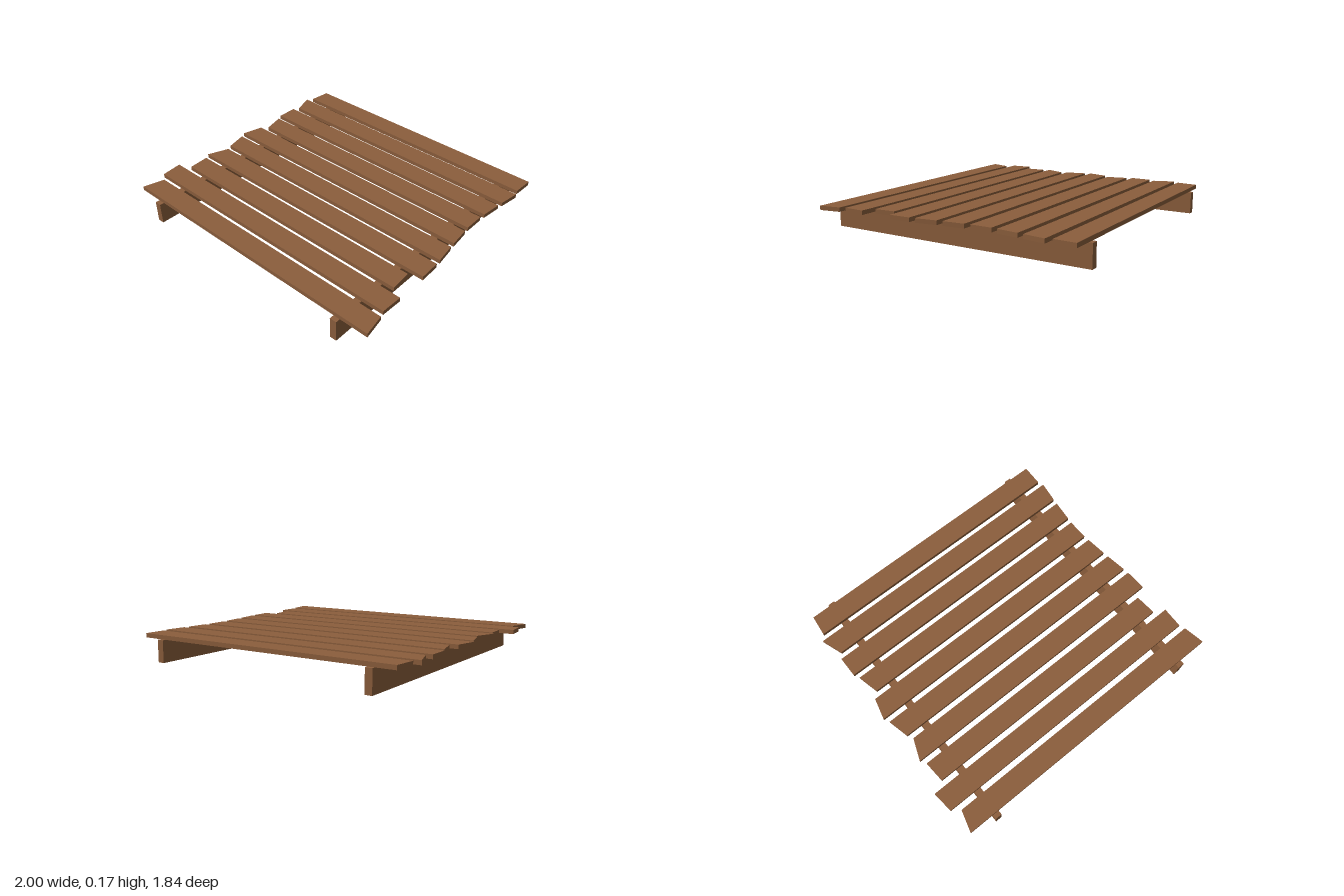
import * as THREE from 'three';

// Ragged plank ends, back to front: left-back, left-front, right-back, right-front x
const PLANK_ENDS = [
  [-0.93, -0.945, 0.94, 0.935],
  [-0.975, -0.925, 0.95, 0.93],
  [-0.95, -0.95, 0.925, 0.91],
  [-0.93, -0.895, 0.905, 0.905],
  [-0.935, -0.97, 0.91, 0.925],
  [-0.95, -0.915, 0.93, 0.95],
  [-0.895, -0.95, 0.955, 0.96],
  [-0.925, -0.915, 0.88, 0.89],
  [-1.0, -0.985, 0.965, 0.96],
  [-0.93, -0.97, 0.975, 1.0],
];
const BEAM_HEIGHT = 0.147;
const PLANK_THICKNESS = 0.028;
const PLANK_WIDTH = 0.143;
const PLANK_PITCH = 0.182;

// Box whose four vertical corners are moved to the given end positions
function plankGeometry([leftBack, leftFront, rightBack, rightFront]) {
  const geometry = new THREE.BoxGeometry(2, PLANK_THICKNESS, PLANK_WIDTH);
  const p = geometry.attributes.position;
  for (let i = 0; i < p.count; i++) {
    const front = p.getZ(i) > 0;
    const x = p.getX(i) < 0 ? (front ? leftFront : leftBack) : (front ? rightFront : rightBack);
    p.setX(i, x);
  }
  geometry.computeVertexNormals();
  return geometry;
}

export function createModel() {
  const group = new THREE.Group();
  group.name = 'plankPlatform';
  const wood = new THREE.MeshStandardMaterial({ color: 0x8b5e3c });

  // Two beams running front to back
  for (const [name, x] of [['rightBeam', -0.775], ['leftBeam', 0.782]]) {
    const beam = new THREE.Mesh(new THREE.BoxGeometry(0.046, BEAM_HEIGHT, 1.836), wood);
    beam.name = name;
    beam.position.set(x, BEAM_HEIGHT / 2, 0);
    group.add(beam);
  }

  // Deck planks laid across the beams
  PLANK_ENDS.forEach((ends, i) => {
    const plank = new THREE.Mesh(plankGeometry(ends), wood);
    plank.name = `plank${i + 1}`;
    plank.position.set(0, BEAM_HEIGHT + PLANK_THICKNESS / 2, -0.822 + i * PLANK_PITCH);
    group.add(plank);
  });

  return group;
}
